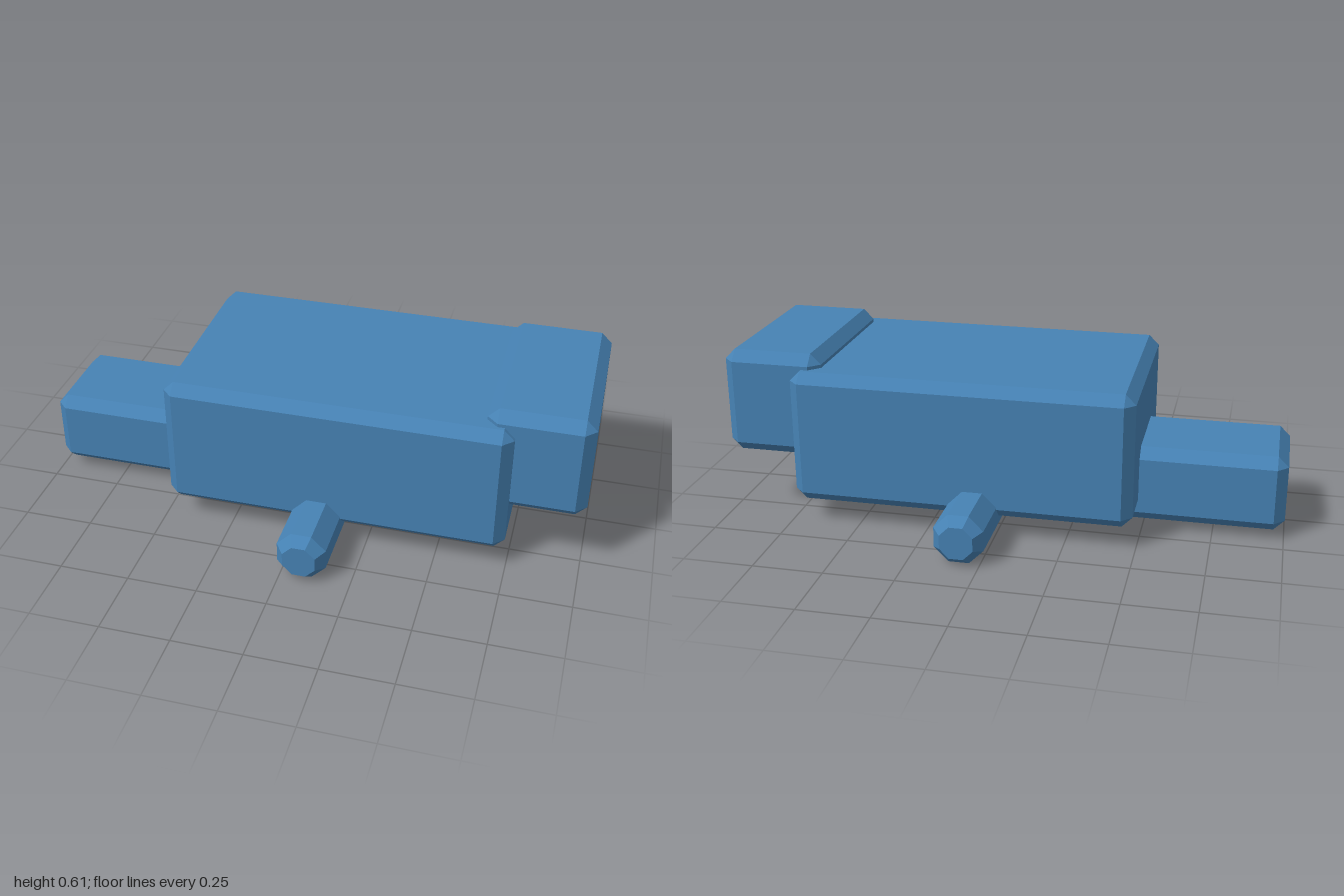
import * as THREE from 'three';
import { ConvexGeometry } from 'three/addons/geometries/ConvexGeometry.js';

const material = new THREE.MeshStandardMaterial({ color: 0x4682b4, flatShading: true });

// Box between two corners with every edge cut at 45 degrees
function chamferBox(name, min, max, c) {
  const h = max.map((v, i) => (v - min[i]) / 2);
  const points = [];
  for (const sx of [-1, 1]) for (const sy of [-1, 1]) for (const sz of [-1, 1]) {
    for (let axis = 0; axis < 3; axis++) {
      const d = h.map((v, i) => (i === axis ? v : v - c));
      points.push(new THREE.Vector3(sx * d[0], sy * d[1], sz * d[2]));
    }
  }
  const mesh = new THREE.Mesh(new ConvexGeometry(points), material);
  mesh.name = name;
  mesh.position.set(...max.map((v, i) => (v + min[i]) / 2));
  return mesh;
}

// Eight-sided bar along z with chamfered ends, flat side up
function octagonBar(name, apothem, endApothem, length, c) {
  const k = 1 / Math.cos(Math.PI / 8), h = length / 2;
  const profile = [
    [0, -h], [endApothem * k, -h], [apothem * k, -h + c],
    [apothem * k, h - c], [endApothem * k, h], [0, h],
  ].map(([r, y]) => new THREE.Vector2(r, y));
  const geometry = new THREE.LatheGeometry(profile, 8);
  geometry.rotateY(Math.PI / 8).rotateX(Math.PI / 2);
  const mesh = new THREE.Mesh(geometry, material);
  mesh.name = name;
  return mesh;
}

export function createModel() {
  const model = new THREE.Group();
  model.name = 'model';

  // Main block, raised block at one end, low block at the other
  model.add(chamferBox('body', [-0.485, 0.08, -0.385], [0.74, 0.565, 0.382], 0.037));
  model.add(chamferBox('raisedEndBlock', [0.64, 0.233, -0.335], [1, 0.615, 0.332], 0.038));
  model.add(chamferBox('lowEndBlock', [-1, 0.03, -0.193], [-0.337, 0.308, 0.187], 0.038));

  // Crossbar through the underside
  const bar = octagonBar('crossbar', 0.087, 0.058, 1.23, 0.038);
  bar.position.set(0.075, 0.088, 0);
  model.add(bar);

  return model;
}
